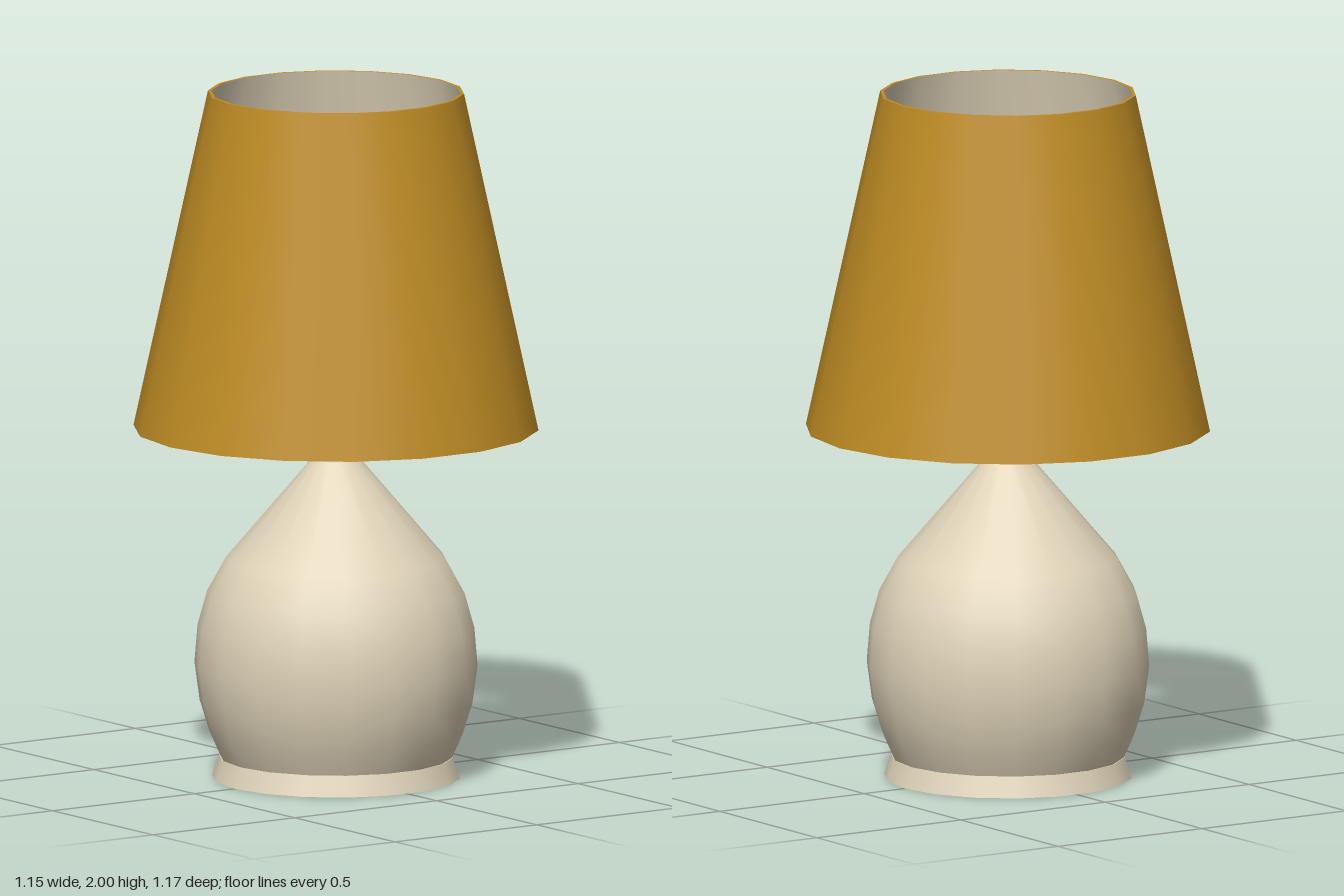
import * as THREE from 'three';

const SIDES = 18;

export function createModel() {
  const lamp = new THREE.Group();
  lamp.name = 'tableLamp';

  const material = (name, color) => {
    const m = new THREE.MeshStandardMaterial({ color });
    m.name = name;
    return m;
  };
  const gold = material('goldFabric', 0xbf8c24);
  const cream = material('creamCeramic', 0xe0d4b9);
  const grey = material('greyMetal', 0x8f9198);

  const add = (name, geometry, mat, parent = lamp) => {
    const mesh = new THREE.Mesh(geometry, mat);
    mesh.name = name;
    parent.add(mesh);
    return mesh;
  };
  // Turned surface; a profile running upwards faces outwards
  const turned = (points, sides = SIDES) =>
    new THREE.LatheGeometry(points.map(([r, y]) => new THREE.Vector2(r, y)), sides);

  // Foot and ceramic body
  add('foot', new THREE.CylinderGeometry(0.338, 0.358, 0.06, SIDES), cream).position.y = 0.03;
  add('body', turned([
    [0.335, 0.06], [0.366, 0.13], [0.394, 0.22], [0.409, 0.33],
    [0.4, 0.44], [0.372, 0.54], [0.317, 0.64], [0.07, 0.93],
  ]), cream);
  add('bodyTop', turned([[0.07, 0.93], [0, 0.93]]), cream);

  // Metal stem with four spokes carrying the shade
  add('stem', new THREE.CylinderGeometry(0.05, 0.05, 0.36, SIDES), grey).position.y = 1.1;
  const spokeLength = 0.526;
  for (let i = 0; i < 4; i++) {
    const arm = new THREE.Group();
    arm.name = 'spoke' + (i + 1);
    arm.position.y = 1.22;
    arm.rotation.y = i * Math.PI / 2;
    const rod = add('spokeRod', new THREE.CylinderGeometry(0.009, 0.009, spokeLength, 8), grey, arm);
    rod.rotation.z = Math.PI / 2;
    rod.position.x = spokeLength / 2;
    lamp.add(arm);
  }

  // Bulb: narrow neck swelling into a round globe
  const bulb = [[0.045, 1.27], [0.05, 1.32]];
  for (let i = 0; i <= 9; i++) {
    const a = THREE.MathUtils.lerp(-0.8, Math.PI / 2, i / 9);
    bulb.push([Math.max(0, 0.103 * Math.cos(a)), 1.45 + 0.103 * Math.sin(a)]);
  }
  add('bulb', turned(bulb), cream);

  // Thin-walled shade: outer fabric, pale lining and both rims
  const shade = new THREE.Group();
  shade.name = 'shade';
  lamp.add(shade);
  const low = 1.02, high = 2;
  add('shadeOuter', turned([[0.585, low], [0.37, high]]), gold, shade);
  add('shadeLining', turned([[0.36, high], [0.575, low]]), cream, shade);
  add('shadeTopRim', turned([[0.37, high], [0.36, high]]), gold, shade);
  add('shadeBottomRim', turned([[0.575, low], [0.585, low]]), gold, shade);

  return lamp;
}
